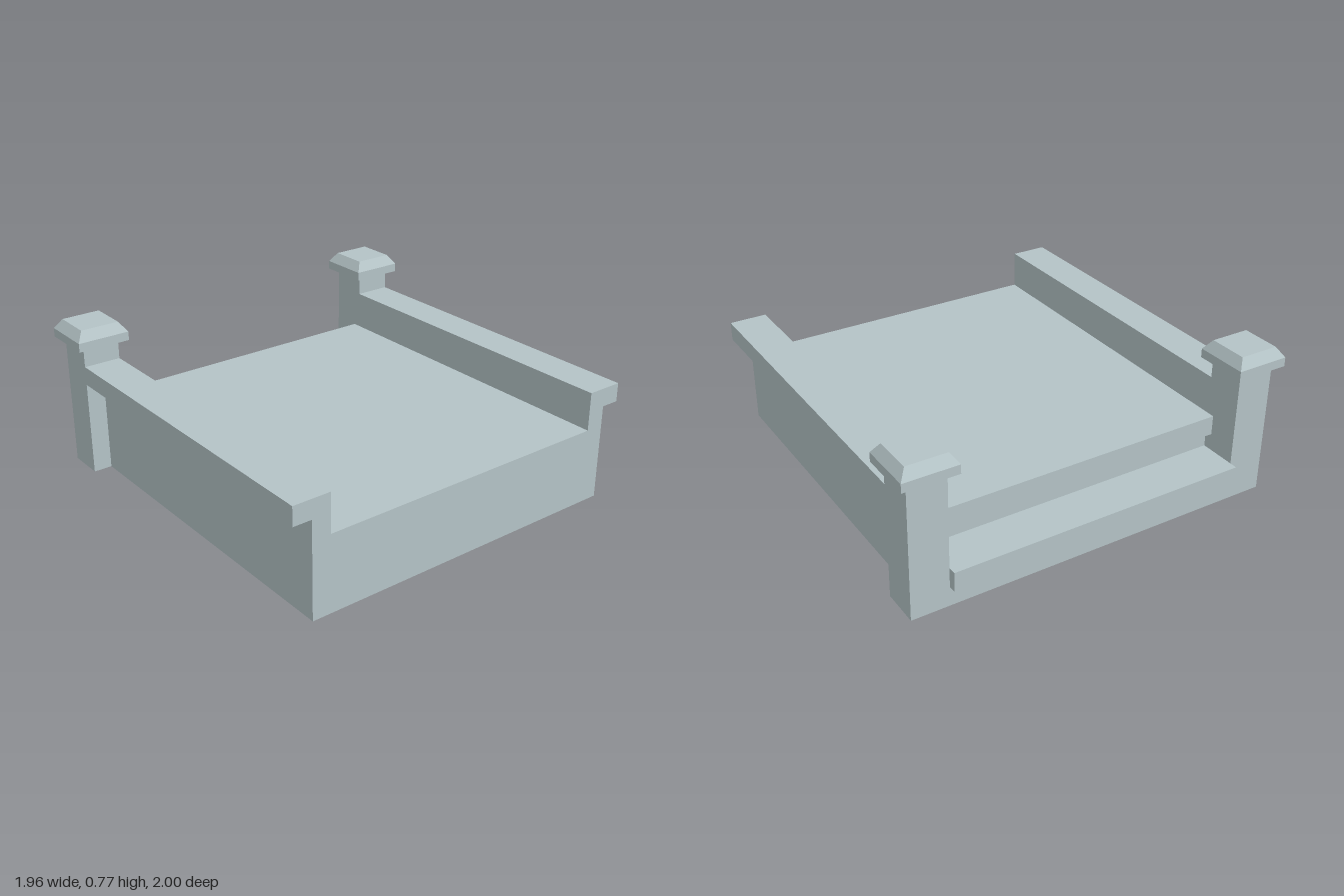
import * as THREE from 'three';

const stone = new THREE.MeshStandardMaterial({ color: 0xb4c3c6 });
stone.name = 'pale grey stone';

function add(parent, name, geometry, x = 0, y = 0, z = 0) {
  const mesh = new THREE.Mesh(geometry, stone);
  mesh.name = name;
  mesh.position.set(x, y, z);
  parent.add(mesh);
  return mesh;
}

function extrude(points, depth) {
  const shape = new THREE.Shape(points.map(([x, y]) => new THREE.Vector2(x, y)));
  return new THREE.ExtrudeGeometry(shape, { depth, bevelEnabled: false });
}

// Square block or tapered square frustum given by half widths
function frustum(topHalf, bottomHalf, height) {
  const g = new THREE.CylinderGeometry(topHalf * Math.SQRT2, bottomHalf * Math.SQRT2, height, 4, 1);
  return g.rotateY(Math.PI / 4).toNonIndexed();
}

export function createModel() {
  const group = new THREE.Group();
  group.name = 'porch';

  const postX = -0.845, postZ = 0.865;
  const backX = -0.75, endX = 0.98;
  const inner = 0.77, wall = 0.865, outer = 0.96;
  const deckY = 0.385;

  // Deck with side walls and overhanging coping, one cross-section run along x
  const half = [[wall, 0], [wall, 0.485], [outer, 0.485], [outer, 0.58], [inner, 0.58], [inner, deckY]];
  const section = [...half, ...half.map(([z, y]) => [-z, y]).reverse()];
  const platform = extrude(section, endX - backX);
  platform.rotateY(Math.PI / 2);
  add(group, 'platform', platform, backX);

  // Two steps with projecting treads between the posts
  const steps = extrude([
    [backX, 0], [backX, 0.2], [-0.98, 0.2], [-0.98, 0.1], [-0.94, 0.1], [-0.94, 0],
  ], inner * 2);
  add(group, 'lowerStep', steps, 0, 0, -inner);
  add(group, 'deckNosing', new THREE.BoxGeometry(0.04, 0.1, inner * 2), -0.77, deckY - 0.05, 0);

  // Capped posts on both sides of the steps
  for (const side of [1, -1]) {
    const post = new THREE.Group();
    post.name = side > 0 ? 'frontPost' : 'backPost';
    post.position.set(postX, 0, side * postZ);
    add(post, 'postShaft', new THREE.BoxGeometry(0.19, 0.68, 0.19), 0, 0.34, 0);
    add(post, 'capBase', new THREE.BoxGeometry(0.27, 0.045, 0.27), 0, 0.7025, 0);
    const top = frustum(0.1, 0.135, 0.05);
    top.computeVertexNormals();
    add(post, 'capTop', top, 0, 0.75, 0);
    group.add(post);
  }
  return group;
}
